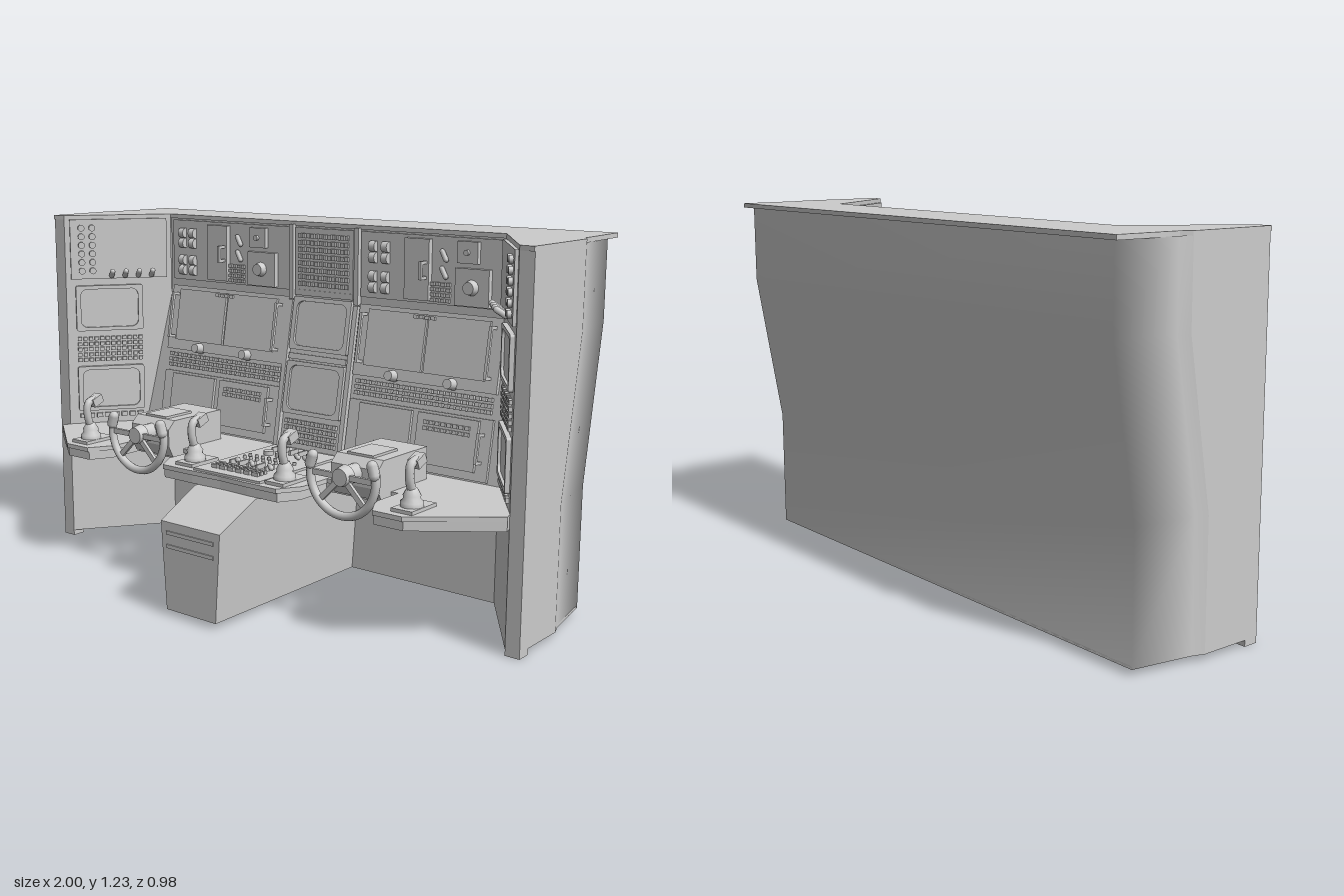
import * as THREE from 'three';
import { mergeGeometries } from 'three/addons/utils/BufferGeometryUtils.js';

const grey = new THREE.MeshStandardMaterial({ color: 0xcccccc, side: THREE.DoubleSide });
const TILT = Math.atan(0.175);

const box = (w, h, d) => new THREE.BoxGeometry(w, h, d);
// disc or knob facing +z
const knob = (r, d, r2 = r) => new THREE.CylinderGeometry(r2, r, d, 20).rotateX(Math.PI / 2);
const rod = (r, l) => new THREE.CapsuleGeometry(r, l, 3, 8);

function add(parent, name, geo, x = 0, y = 0, z = 0) {
  const m = new THREE.Mesh(geo, grey);
  m.name = name;
  m.position.set(x, y, z);
  parent.add(m);
  return m;
}

// skin through sections of equal point count
function loft(sections, smooth = false, closed = false) {
  const n = sections[0].length, idx = [];
  for (let i = 0; i < sections.length - 1; i++)
    for (let j = 0; j < (closed ? n : n - 1); j++) {
      const k = (j + 1) % n, a = i * n + j, b = i * n + k, c = a + n, d = b + n;
      idx.push(a, b, d, a, d, c);
    }
  let g = new THREE.BufferGeometry();
  g.setAttribute('position', new THREE.Float32BufferAttribute(sections.flat(2), 3));
  g.setIndex(idx);
  if (!smooth) g = g.toNonIndexed();
  g.computeVertexNormals();
  return g;
}

// horizontal slab from an [x, z] outline
function slab(pts, y0, y1) {
  const s = new THREE.Shape(pts.map(([x, z]) => new THREE.Vector2(x, -z)));
  return new THREE.ExtrudeGeometry(s, { depth: y1 - y0, bevelEnabled: false })
    .rotateX(-Math.PI / 2).translate(0, y0, 0);
}
const mirrored = (half) => [...half, ...half.map(([x, z]) => [-x, z]).reverse()];

function roundRect(target, w, h, r) {
  const x = w / 2, y = h / 2;
  target.absarc(x - r, y - r, r, 0, Math.PI / 2);
  target.absarc(-x + r, y - r, r, Math.PI / 2, Math.PI);
  target.absarc(-x + r, -y + r, r, Math.PI, Math.PI * 1.5);
  target.absarc(x - r, -y + r, r, Math.PI * 1.5, Math.PI * 2);
  return target;
}
// monitor bezel with rounded opening and a slightly sunk screen
function monitor(w, h) {
  const s = roundRect(new THREE.Shape(), w, h, 0.008);
  s.holes.push(roundRect(new THREE.Path(), w * 0.86, h * 0.84, 0.025));
  const bezel = new THREE.ExtrudeGeometry(s, { depth: 0.016, bevelEnabled: false, curveSegments: 6 });
  return mergeGeometries([bezel, box(w * 0.9, h * 0.9, 0.006).toNonIndexed().translate(0, 0, 0.004)]);
}
// block of repeated small parts, centred, spread over w by h
function grid(geo, cols, rows, w, h) {
  const list = [];
  for (let i = 0; i < cols; i++)
    for (let j = 0; j < rows; j++)
      list.push(geo.clone().translate(w * ((i + 0.5) / cols - 0.5), h * ((j + 0.5) / rows - 0.5), 0));
  return mergeGeometries(list);
}
const keys = (cols, rows, w, h) => grid(box(w / cols * 0.7, h / rows * 0.65, 0.012), cols, rows, w, h);
// U-shaped pull handle, vertical
function handle(len) {
  return mergeGeometries([box(0.01, len, 0.01).translate(0, 0, 0.03),
    ...[-1, 1].map((s) => box(0.01, 0.01, 0.03).translate(0, s * (len / 2 - 0.005), 0.015))]);
}

// main wall: upright above y = 0.95, leaning forward below it
function onWall(parent, name, geo, x, y, out = 0.006) {
  const low = y < 0.95, m = add(parent, name, geo, x, y, -0.24 + (low ? (0.95 - y) * 0.175 : 0) + out);
  if (low) m.rotation.x = -TILT;
  return m;
}

function shell(g) {
  // rear skin with rounded corners, leaning back above the kick line
  const levels = [[0.02, 0], [0.43, 0], [0.95, 0.088], [1.212, 0.088]];
  const ring = mirrored([[1, -0.13], [0.985, -0.17], [0.95, -0.37]]);
  add(g, 'rearShell', loft(levels.map(([y, o]) => ring.map(([x, z]) => [x, y, z - o])), true));
  for (const s of [-1, 1]) {
    add(g, 'endPanel', loft(levels.map(([y, o]) => [[s, y, 0.09], [s, y, -0.13 - o]])));
    add(g, 'sideWall', loft([0.02, 1.212].map((y) => [[s * 0.95, y, 0.09], [s * 0.72, y, -0.235]])));
    add(g, 'frontPost', box(0.05, 1.192, 0.012), s * 0.975, 0.616, 0.084);
    add(g, 'foot', box(0.05, 0.03, 0.05), s * 0.975, 0.015, 0.065);
  }
  const inner = [[0.95, 0.09], [0.72, -0.235], [-0.72, -0.235], [-0.95, 0.09]];
  add(g, 'floor', slab([[-1, 0.09], [-1, -0.13], [-0.985, -0.17], [-0.95, -0.37],
    [0.95, -0.37], [0.985, -0.17], [1, -0.13], [1, 0.09], ...inner], 0.02, 0.03));
  add(g, 'roof', slab([[-1, 0.095], [-1, -0.22], [-0.98, -0.25], [-0.97, -0.47],
    [0.97, -0.487], [0.98, -0.25], [1, -0.22], [1, 0.095], ...inner], 1.21, 1.225));
  add(g, 'kneeWall', loft([0.02, 0.42].map((y) => [[-0.72, y, -0.235], [0.72, y, -0.235]])));
  add(g, 'mainWall', loft([[1.212, -0.24, 0.72], [0.95, -0.24, 0.72], [0.42, -0.147, 0.79]]
    .map(([y, z, w]) => [[-w, y, z], [w, y, z]])));
}

function stationPanels(g, cx) {
  const p = new THREE.Group();
  p.name = 'stationPanels';
  p.position.x = cx;
  g.add(p);
  // upper instrument band
  onWall(p, 'upperPlate', box(0.56, 0.22, 0.01), 0, 1.095);
  const reel = new THREE.CylinderGeometry(0.018, 0.018, 0.024, 14).rotateZ(Math.PI / 2);
  for (const y of [1.14, 1.04]) onWall(p, 'reelPair', mergeGeometries([grid(reel, 2, 2, 0.1, 0.075)]), -0.2, y, 0.015);
  onWall(p, 'upperCover', box(0.095, 0.2, 0.03), -0.045, 1.095, 0.015);
  onWall(p, 'coverHandle', handle(0.06), -0.01, 1.095, 0.028);
  for (const y of [1.145, 1.09]) onWall(p, 'fuse', rod(0.009, 0.03), 0.055, y, 0.022).rotation.z = 0.5;
  onWall(p, 'smallKeys', keys(4, 4, 0.08, 0.07), 0.04, 1.025, 0.014);
  onWall(p, 'gaugeBox', box(0.075, 0.07, 0.025), 0.145, 1.16, 0.015);
  onWall(p, 'gaugeButton', knob(0.009, 0.012), 0.145, 1.16, 0.032);
  onWall(p, 'dialBox', box(0.125, 0.12, 0.03), 0.165, 1.05, 0.015);
  onWall(p, 'dial', knob(0.026, 0.025, 0.02), 0.165, 1.05, 0.04);
  // middle cover with two raised halves
  onWall(p, 'middlePlate', box(0.56, 0.24, 0.014), 0, 0.842, 0.007);
  onWall(p, 'leftCover', box(0.23, 0.19, 0.014), -0.12, 0.855, 0.016);
  onWall(p, 'rightCover', box(0.23, 0.19, 0.014), 0.12, 0.855, 0.016);
  for (const s of [-1, 1]) {
    onWall(p, 'pullHandle', handle(0.17), s * 0.25, 0.85, 0.012);
    onWall(p, 'coverKnob', knob(0.02, 0.04, 0.016), s * 0.115, 0.74, 0.025);
  }
  onWall(p, 'coverLatch', keys(4, 1, 0.09, 0.018), -0.01, 0.94, 0.025);
  // key strip and lower panels
  onWall(p, 'keyStrip', keys(24, 3, 0.54, 0.06), 0, 0.685, 0.006);
  onWall(p, 'lowerPlate', box(0.56, 0.2, 0.01), 0, 0.545);
  onWall(p, 'lowerLeftPanel', box(0.21, 0.165, 0.02), -0.125, 0.555, 0.012);
  onWall(p, 'lowerRightPanel', box(0.23, 0.165, 0.02), 0.12, 0.555, 0.012);
  onWall(p, 'lowerKeys', keys(8, 2, 0.18, 0.04), 0.12, 0.6, 0.024);
  onWall(p, 'lowerHandle', handle(0.1), 0.25, 0.55, 0.01);
  for (const x of [-0.13, -0.08]) {
    const d = new THREE.CylinderGeometry(0.035, 0.035, 0.035, 20).rotateZ(Math.PI / 2);
    onWall(p, 'drum', d, x, 0.49, 0.03);
  }
}

function centrePanels(g) {
  const x = 0.013;
  onWall(g, 'centreTopPlate', box(0.25, 0.22, 0.012), x, 1.095);
  onWall(g, 'centreTopKeys', keys(12, 8, 0.22, 0.19), x, 1.095, 0.014);
  for (const y of [0.872, 0.65]) {
    onWall(g, 'centreMonitor', monitor(0.25, 0.185), x, y, 0.004);
    onWall(g, 'monitorTrim', box(0.25, 0.02, 0.014), x, y + 0.108, 0.008);
  }
  onWall(g, 'centreLowKeys', keys(12, 4, 0.23, 0.09), x, 0.5, 0.008);
  for (const s of [-0.128, 0.154]) {
    onWall(g, 'divider', box(0.018, 0.26, 0.02), s, 1.085, 0.008);
    onWall(g, 'divider', box(0.018, 0.52, 0.02), s, 0.695, 0.008);
  }
}

function sidePanels(g, s) {
  const p = new THREE.Group();
  p.name = s > 0 ? 'leftSidePanels' : 'rightSidePanels';
  p.position.set(s * 0.835, 0, -0.0725);
  p.rotation.y = -s * 0.947;
  g.add(p);
  add(p, 'sideTopPlate', box(0.36, 0.22, 0.012), 0, 1.1, 0.006);
  add(p, 'sideButtons', grid(knob(0.012, 0.02), 2, 6, 0.08, 0.19), s * 0.12, 1.1, 0.015);
  for (let i = 0; i < 4; i++) {
    add(p, 'toggle', rod(0.01, 0.035), s * (-0.12 + i * 0.05), 1.01, 0.03).rotation.x = 1;
  }
  for (const y of [0.88, 0.575]) add(p, 'sideMonitor', monitor(0.25, 0.17), s * 0.04, y, 0);
  add(p, 'sideKeys', keys(12, 5, 0.25, 0.1), s * 0.04, 0.725, 0.006);
  add(p, 'sideLowStrip', keys(8, 1, 0.25, 0.025), s * 0.04, 0.47, 0.006);
}

function desk(g) {
  const outline = (e) => mirrored([[0, 0.3 + e], [0.12, 0.305 + e], [0.245, 0.305 + e], [0.283 + e, 0.235],
    [0.283 + e, 0.1 + e], [0.575 - e, 0.1 + e], [0.575 - e, 0.23], [0.615, 0.305 + e], [0.72, 0.305 + e],
    [0.96, 0.12], [0.95, 0.09], [0.74, -0.2]]);
  add(g, 'deskSlab', slab(outline(0), 0.395, 0.425));
  add(g, 'deskTop', slab(outline(0.008), 0.425, 0.44));
  // tapered pedestal with two vent slots
  const cut = (z, top, wt, wb) => [[-wb, 0.02, z], [-wt, top, z], [wt, top, z], [wb, 0.02, z]];
  const end = cut(0.485, 0.315, 0.126, 0.106);
  const tip = end.map(() => [0, 0.17, 0.485]);
  add(g, 'pedestal', loft([cut(-0.235, 0.395, 0.131, 0.106), cut(0.32, 0.395, 0.131, 0.106), end, tip], false, true), 0.037);
  for (const y of [0.28, 0.235]) add(g, 'ventSlot', box(0.2, 0.012, 0.008), 0.037, y, 0.485);
  // centre control board
  const b = new THREE.Group();
  b.name = 'controlBoard';
  b.position.set(0.025, 0.44, 0.09);
  b.rotation.x = -Math.PI / 2;
  g.add(b);
  add(b, 'boardPlate', box(0.285, 0.42, 0.016));
  for (const y of [0.14, -0.08]) add(b, 'sliders', grid(box(0.008, 0.045, 0.02), 5, 1, 0.19, 0.05), 0, y, 0.014);
  add(b, 'boardDials', grid(knob(0.018, 0.016), 2, 1, 0.1, 0.05), -0.04, 0.085, 0.014);
  for (const [x, y] of [[0.06, 0.085], [0.1, 0.08], [-0.06, -0.08], [0, -0.08], [0.08, -0.08]])
    add(b, 'switch', rod(0.009, 0.03), x, y, 0.02).rotation.z = 0.9;
  add(b, 'boardLamps', grid(knob(0.006, 0.012), 8, 2, 0.22, 0.06), 0, 0.01, 0.012);
  add(b, 'boardKeys', keys(6, 3, 0.21, 0.055), 0, -0.145, 0.014);
}

function steering(g, x) {
  const c = new THREE.Group();
  c.name = 'steeringUnit';
  c.position.x = x;
  g.add(c);
  // housing profile in z and y, extruded across x
  const prof = [[-0.09, 0.42], [0.16, 0.42], [0.18, 0.46], [0.18, 0.52], [0.15, 0.548], [-0.09, 0.548]];
  const s = new THREE.Shape(prof.map(([z, y]) => new THREE.Vector2(-z, y)));
  add(c, 'housing', new THREE.ExtrudeGeometry(s, { depth: 0.18, bevelEnabled: false })
    .rotateY(Math.PI / 2).translate(-0.09, 0, 0));
  add(c, 'housingPlate', box(0.1, 0.012, 0.13), 0, 0.55, 0.085);
  add(c, 'column', knob(0.03, 0.08), 0, 0.5, 0.205);
  const w = new THREE.Group();
  w.name = 'wheel';
  w.position.set(0, 0.5, 0.24);
  c.add(w);
  const a = 0.35, R = 0.125;
  add(w, 'rim', new THREE.TorusGeometry(R, 0.014, 10, 40, Math.PI + 2 * a).rotateZ(Math.PI - a));
  add(w, 'hub', knob(0.035, 0.035, 0.028));
  for (const t of [0, Math.PI, -Math.PI / 4, -Math.PI * 0.75])
    add(w, 'spoke', box(R, 0.018, 0.012), Math.cos(t) * R / 2, Math.sin(t) * R / 2, 0).rotation.z = t;
  for (const k of [-1, 1]) add(w, 'grip', rod(0.018, 0.03), k * 0.118, 0.038, 0.004).rotation.z = k * 0.3;
}

function joystick(g, x) {
  const j = new THREE.Group();
  j.name = 'joystick';
  j.position.set(x, 0.44, 0.22);
  g.add(j);
  add(j, 'stickBase', box(0.075, 0.012, 0.13), 0, 0.005, 0);
  const boot = [[0.036, 0], [0.036, 0.015], [0.026, 0.025], [0.028, 0.035], [0.017, 0.055], [0.01, 0.06]];
  add(j, 'boot', new THREE.LatheGeometry(boot.map(([r, y]) => new THREE.Vector2(r, y)), 16), 0, 0.01, 0.01);
  const path = new THREE.CatmullRomCurve3([[0, 0.05, 0.01], [0, 0.1, 0.024], [0, 0.14, 0.018], [0, 0.15, -0.02]]
    .map((p) => new THREE.Vector3(...p)));
  add(j, 'grip', new THREE.TubeGeometry(path, 14, 0.014, 10));
  add(j, 'gripHead', box(0.035, 0.03, 0.045), 0, 0.145, -0.015).rotation.x = 0.4;
}

export function createModel() {
  const g = new THREE.Group();
  g.name = 'controlConsole';
  shell(g);
  centrePanels(g);
  desk(g);
  for (const s of [-1, 1]) {
    stationPanels(g, 0.015 + s * 0.435);
    sidePanels(g, s);
    steering(g, 0.008 + s * 0.443);
  }
  for (const x of [-0.685, -0.175, 0.215, 0.7]) joystick(g, x);
  return g;
}
